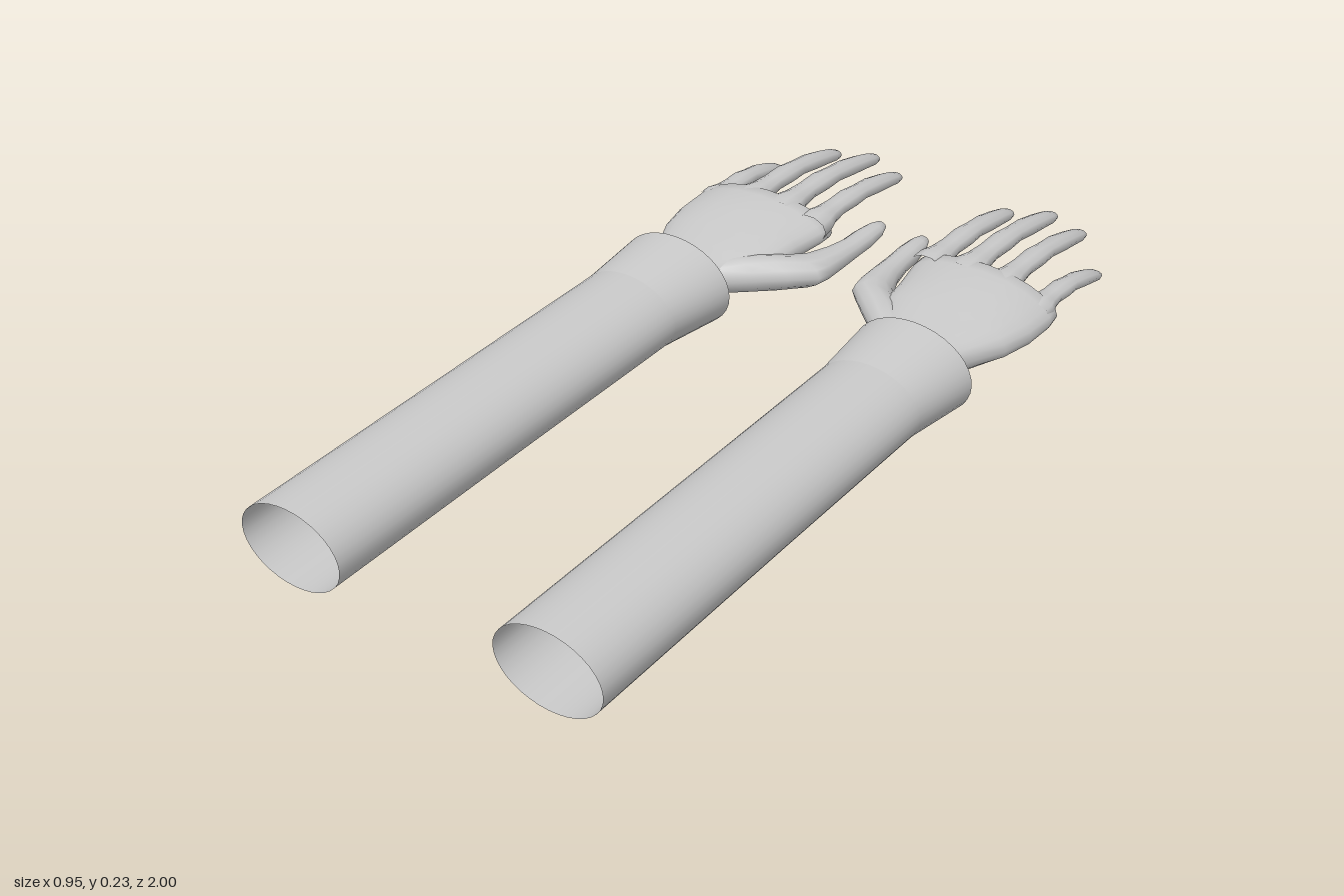
import * as THREE from 'three';

const skin = new THREE.MeshStandardMaterial({ color: 0xcccccc });
const open = new THREE.MeshStandardMaterial({ color: 0xcccccc, side: THREE.DoubleSide });

// Skin over cross-sections running toward -z. Each row: [z, x, y, rx, ry, arch].
// power < 1 squares the oval; arch drops the edges, more on the little-finger side.
function loft(name, rows, side, { sides = 12, power = 1, material = skin } = {}) {
  const pos = [], index = [];
  const bulge = (v) => Math.sign(v) * Math.pow(Math.abs(v), power);
  for (const [z, x, y, rx, ry, arch = 0] of rows) {
    for (let j = 0; j < sides; j++) {
      const a = (j / sides) * Math.PI * 2;
      const u = bulge(Math.cos(a));
      const drop = arch * u * u * (u * side > 0 ? 1 : 0.6);
      pos.push(side * x + rx * u, y + ry * bulge(Math.sin(a)) - drop, z);
    }
  }
  for (let i = 0; i < rows.length - 1; i++) {
    for (let j = 0; j < sides; j++) {
      const k = (j + 1) % sides;
      const a = i * sides + j, b = i * sides + k;
      index.push(a, a + sides, b, b, a + sides, b + sides);
    }
  }
  const geo = new THREE.BufferGeometry();
  geo.setAttribute('position', new THREE.Float32BufferAttribute(pos, 3));
  geo.setIndex(index);
  geo.computeVertexNormals();
  const mesh = new THREE.Mesh(geo, material);
  mesh.name = name;
  return mesh;
}

// Half-widths along a finger, swelling at each joint
const fingerProfile = [
  [0, 0.044], [0.09, 0.042], [0.17, 0.032], [0.28, 0.027], [0.42, 0.029], [0.54, 0.025],
  [0.68, 0.027], [0.82, 0.024], [0.92, 0.021], [0.98, 0.014], [1, 0],
];

// name, base x, tip x, base y, tip y, tip z, thickness scale
const fingers = [
  ['indexFinger', 0.156, 0.154, 0.142, 0.1, -0.955, 1],
  ['middleFinger', 0.245, 0.246, 0.152, 0.102, -1, 1.02],
  ['ringFinger', 0.336, 0.338, 0.148, 0.098, -0.97, 1],
  ['littleFinger', 0.428, 0.437, 0.122, 0.076, -0.86, 0.93],
];

function finger([name, x0, x1, y0, y1, tipZ, scale], side) {
  const baseZ = -0.56;
  const rows = fingerProfile.map(([t, w]) => [
    baseZ + (tipZ - baseZ) * t,
    x0 + (x1 - x0) * t,
    y0 + (y1 - y0) * Math.pow(t, 1.8) + 0.012 * Math.sin(Math.PI * t),
    w * scale,
    w * scale * 0.72,
  ]);
  return loft(name, rows, side, { sides: 10 });
}

function createArm(side) {
  const arm = new THREE.Group();
  arm.name = side > 0 ? 'leftArm' : 'rightArm';

  // Open sleeve tube and flared cuff
  const tube = { sides: 36, material: open };
  arm.add(loft('sleeve', [
    [1, 0.31, 0.138, 0.125, 0.092],
    [0.4, 0.31, 0.127, 0.125, 0.091],
    [-0.07, 0.31, 0.117, 0.126, 0.091],
  ], side, tube));
  arm.add(loft('cuff', [
    [-0.07, 0.31, 0.117, 0.126, 0.091],
    [-0.25, 0.31, 0.11, 0.145, 0.108],
  ], side, tube));

  const hand = new THREE.Group();
  hand.name = 'hand';

  // Palm, open at the wrist and closed at the knuckles
  hand.add(loft('palm', [
    [-0.2, 0.305, 0.122, 0.092, 0.045],
    [-0.27, 0.304, 0.122, 0.092, 0.045],
    [-0.33, 0.3, 0.125, 0.118, 0.045, 0.006],
    [-0.4, 0.297, 0.131, 0.154, 0.044, 0.016],
    [-0.48, 0.302, 0.14, 0.168, 0.041, 0.028],
    [-0.56, 0.297, 0.147, 0.178, 0.037, 0.036],
    [-0.595, 0.294, 0.148, 0.177, 0.034, 0.036],
    [-0.61, 0.294, 0.148, 0.15, 0.02, 0.026],
    [-0.61, 0.294, 0.148, 0, 0],
  ], side, { sides: 24, power: 0.75, material: open }));

  for (const f of fingers) hand.add(finger(f, side));

  // Thumb growing out of the heel of the palm
  hand.add(loft('thumb', [
    [-0.27, 0.25, 0.118, 0.04, 0.036],
    [-0.33, 0.205, 0.116, 0.058, 0.042],
    [-0.38, 0.16, 0.113, 0.066, 0.043],
    [-0.43, 0.105, 0.11, 0.062, 0.038],
    [-0.47, 0.082, 0.108, 0.045, 0.034],
    [-0.53, 0.069, 0.107, 0.033, 0.029],
    [-0.59, 0.063, 0.106, 0.028, 0.024],
    [-0.64, 0.061, 0.106, 0.028, 0.023],
    [-0.69, 0.059, 0.107, 0.023, 0.018],
    [-0.715, 0.058, 0.108, 0.014, 0.011],
    [-0.722, 0.058, 0.108, 0, 0],
  ], side, { sides: 12 }));

  arm.add(hand);
  return arm;
}

export function createModel() {
  const model = new THREE.Group();
  model.name = 'armsWithSleeves';
  for (const side of [1, -1]) model.add(createArm(side));
  return model;
}
